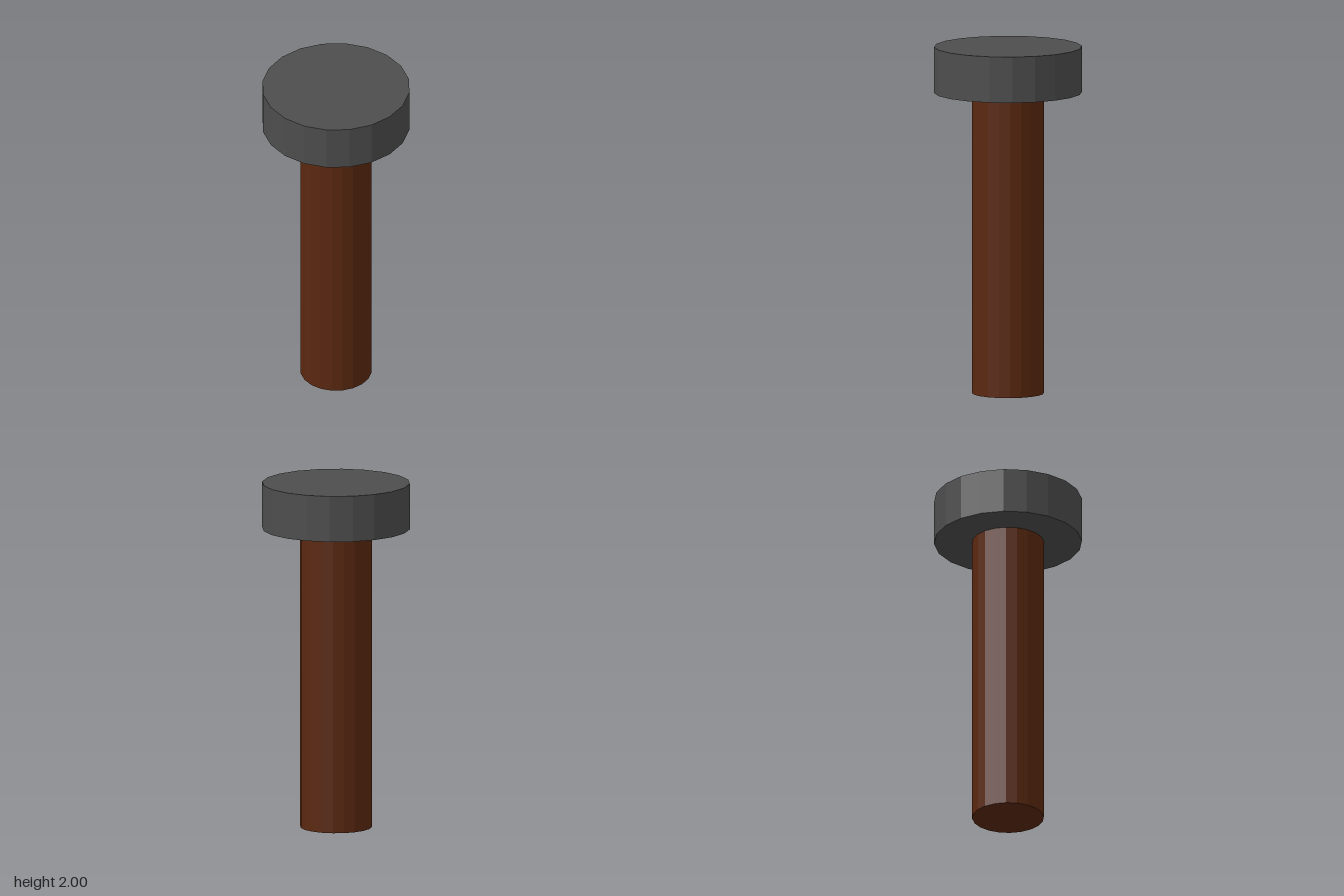
import * as THREE from 'three';

const SIDES = 20;
const HEAD_BOTTOM = 1.735;

// Upright faceted cylinder spanning y0 to y1
function post(name, radius, y0, y1, color) {
  const geometry = new THREE.CylinderGeometry(radius, radius, y1 - y0, SIDES);
  const material = new THREE.MeshStandardMaterial({ color, flatShading: true });
  const mesh = new THREE.Mesh(geometry, material);
  mesh.name = name;
  mesh.position.y = (y0 + y1) / 2;
  return mesh;
}

export function createModel() {
  const model = new THREE.Group();
  model.name = 'peg';
  // Long wooden shaft, with a wide dark cap on top
  model.add(post('shaft', 0.205, 0, HEAD_BOTTOM, 0x5a2810));
  model.add(post('head', 0.423, HEAD_BOTTOM, 2, 0x4d4d4d));
  return model;
}
